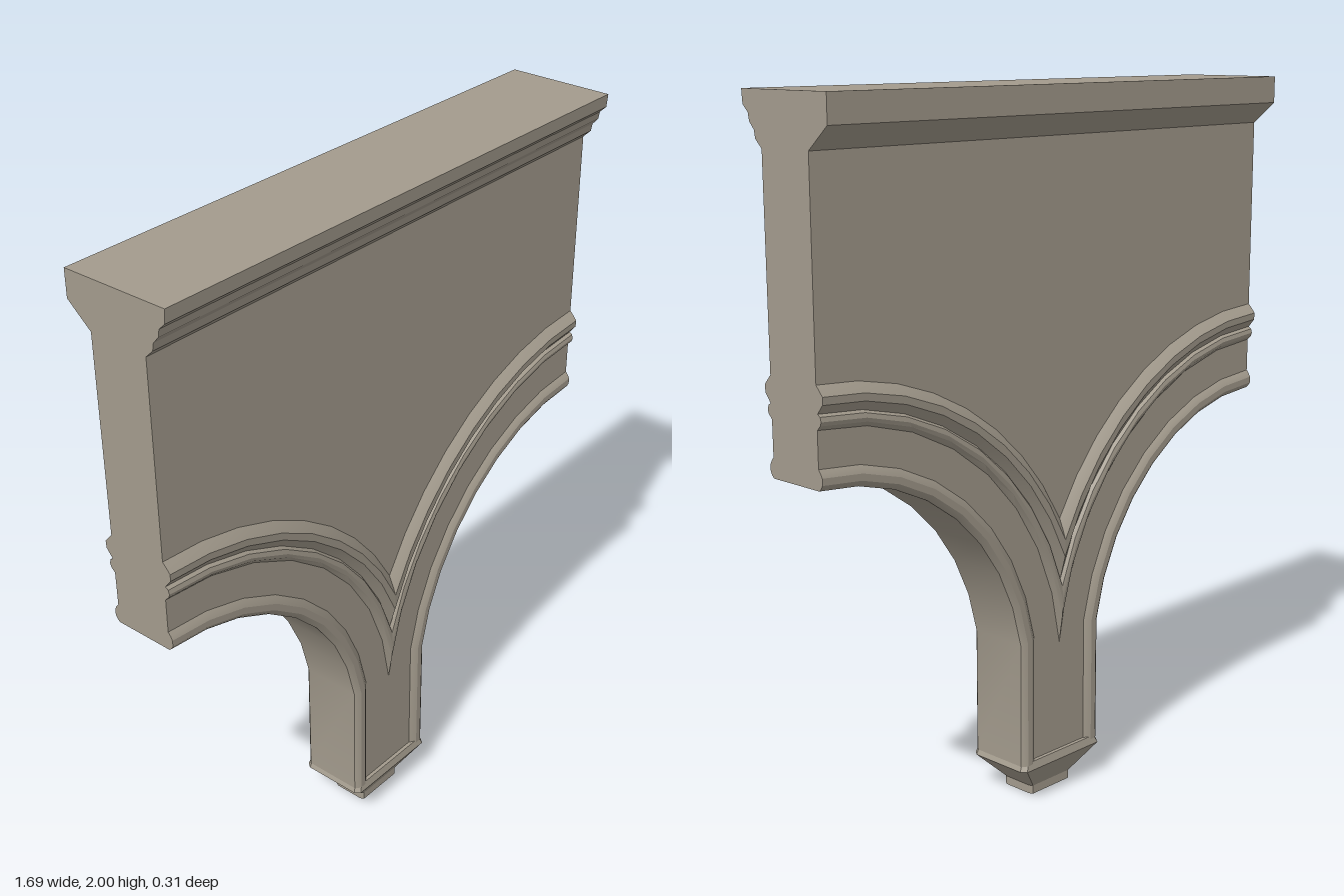
import * as THREE from 'three';
import { toCreasedNormals } from 'three/addons/utils/BufferGeometryUtils.js';

const HALF = 0.845;        // half width, also x of each arch centre
const CY = 0.36;           // height of the arch centres
const R = 0.7;             // arch radius
const SPRING = Math.PI / 18;
const STEPS = 8;
const FACE = 0.087;        // half thickness of the wall
const FOOT = 0.12;         // bottom of the shaft

const material = new THREE.MeshStandardMaterial({ color: 0xa39b8d, roughness: 0.9 });

function addMesh(parent, name, geometry) {
  const mesh = new THREE.Mesh(toCreasedNormals(geometry, 0.45), material);
  mesh.name = name;
  parent.add(mesh);
}

// Grid of points (rows x columns) to a surface
function gridGeometry(rows, flip) {
  const n = rows[0].length;
  const index = [];
  for (let i = 0; i < rows.length - 1; i++) {
    for (let j = 0; j < n - 1; j++) {
      const a = i * n + j, b = a + 1, c = a + n, d = c + 1;
      index.push(...(flip ? [a, c, b, b, c, d] : [a, b, c, b, d, c]));
    }
  }
  const g = new THREE.BufferGeometry();
  g.setAttribute('position', new THREE.Float32BufferAttribute(rows.flat(2), 3));
  g.setIndex(index);
  return g;
}

// Path of one radius: up the shaft, or from the mitre at x = 0, then round to the crown
function archPath(r) {
  const reachesMitre = r >= HALF;
  const start = reachesMitre ? Math.acos(HALF / r) : SPRING;
  const pts = [];
  if (!reachesMitre) pts.push([HALF - r * Math.cos(start), FOOT]);
  for (let i = 0; i <= STEPS; i++) {
    const a = start + (Math.PI / 2 - start) * i / STEPS;
    pts.push([HALF - r * Math.cos(a), CY + r * Math.sin(a)]);
  }
  return pts;
}

// Moulding swept along the arch; profile points are [radius, z]
function moulding(profile, sx, sz) {
  const rows = profile.map(([r, z]) => {
    const row = archPath(r).map(([x, y]) => [sx * x, y, sz * z]);
    const [x, y] = row[row.length - 1];
    row.push([x, y, sz * FACE]); // closes the end
    return row;
  });
  return gridGeometry(rows, sx * sz < 0);
}

export function createModel() {
  const group = new THREE.Group();
  group.name = 'archSpandrel';

  // Wall with shaft and two half arches
  const right = archPath(R);
  const left = right.map(([x, y]) => [-x, y]).reverse();
  const outline = [...right, [HALF, 1.88], [-HALF, 1.88], ...left];
  const wallShape = new THREE.Shape(outline.map(p => new THREE.Vector2(...p)));
  const wall = new THREE.ExtrudeGeometry(wallShape, { depth: 2 * FACE, bevelEnabled: false });
  wall.translate(0, 0, -FACE);
  addMesh(group, 'wall', wall);

  // Cornice: stepped at the front, a plain splay at the back
  const cornice = [
    [-FACE, 1.865], [FACE, 1.862], [0.11, 1.884], [0.114, 1.905], [0.131, 1.924],
    [0.135, 1.945], [0.154, 1.963], [0.157, 2], [-0.157, 2], [-0.157, 1.925],
  ];
  const corniceShape = new THREE.Shape(cornice.map(([z, y]) => new THREE.Vector2(-z, y)));
  const corniceGeo = new THREE.ExtrudeGeometry(corniceShape, { depth: 2 * HALF, bevelEnabled: false });
  corniceGeo.rotateY(Math.PI / 2).translate(-HALF, 0, 0);
  addMesh(group, 'cornice', corniceGeo);

  // Edge beads and hood mouldings on both faces
  const bead = [[R, FACE], [0.706, 0.094], [0.716, 0.1], [0.734, 0.1], [0.744, 0.095], [0.754, FACE]];
  const hood = [
    [0.85, FACE], [0.862, 0.099], [0.872, 0.102], [0.884, 0.099], [0.89, 0.09],
    [0.914, 0.109], [0.934, 0.11], [0.946, 0.1], [0.96, FACE],
  ];
  for (const sz of [1, -1]) {
    for (const sx of [1, -1]) {
      const place = (sz > 0 ? 'front' : 'back') + (sx > 0 ? 'Left' : 'Right');
      addMesh(group, place + 'EdgeBead', moulding(bead, sx, sz));
      addMesh(group, place + 'HoodMoulding', moulding(hood, sx, sz));
    }
  }

  // Tapered corbel under the shaft: [y, halfX, halfZ, corner x, corner z]
  const levels = [
    [0, 0.08, 0.055, 0.055, 0.045],
    [0.025, 0.08, 0.055, 0.055, 0.045],
    [0.105, 0.16, 0.104, 0.11, 0.088],
    [0.128, 0.15, 0.098, 0.1, 0.085],
  ];
  const ring = ([y, hx, hz, cx, cz]) => {
    const mx = cx + (hx - cx) * 0.75;
    const quarter = [[hx, cz], [mx, hz], [cx, hz]];
    const front = [...quarter, ...quarter.map(([x, z]) => [-x, z]).reverse()];
    const loop = [...front, ...front.map(([x, z]) => [-x, -z])];
    return [...loop, loop[0]].map(([x, z]) => [x, y, z]);
  };
  const point = y => Array.from({ length: 13 }, () => [0, y, 0]);
  const corbel = [point(0), ...levels.map(ring), point(0.128)];
  addMesh(group, 'corbel', gridGeometry(corbel, true));

  return group;
}
